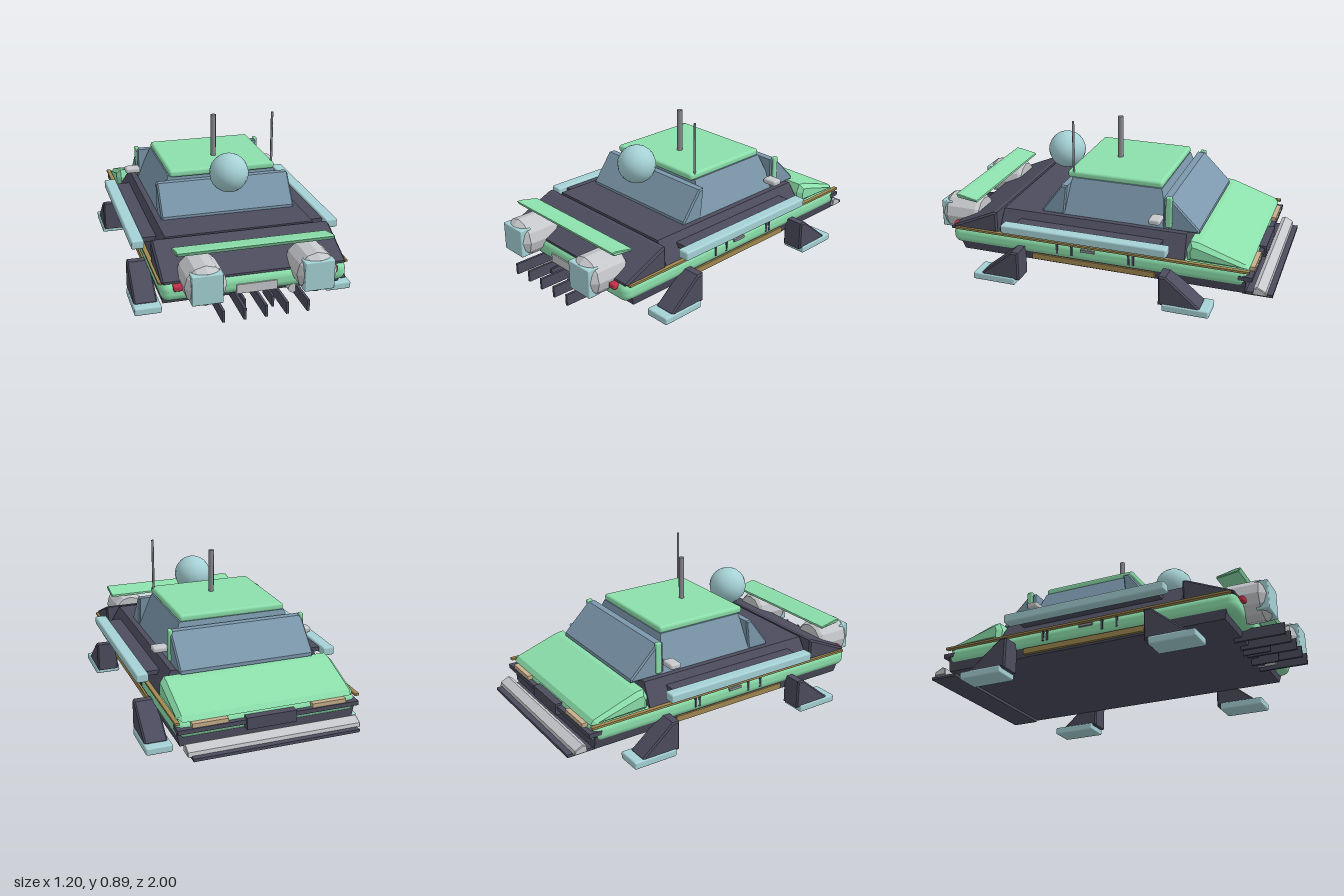
import * as THREE from 'three';
import { RoundedBoxGeometry } from 'three/addons/geometries/RoundedBoxGeometry.js';

const mat = (name, color, extra = {}) => {
  const m = new THREE.MeshStandardMaterial({ color, ...extra });
  m.name = name;
  return m;
};

export function createModel() {
  const green = mat('mint green', 0x8ce0ac);
  const dark = mat('dark slate', 0x4c4c5e);
  const glass = mat('blue glass', 0x7c98ac);
  const teal = mat('pale teal', 0xa6d2d6);
  const gold = mat('old gold', 0xa08850);
  const beige = mat('beige', 0xc8b08c);
  const silver = mat('silver', 0xc6c8cc);
  const grey = mat('mid grey', 0x8c8c94);
  const red = mat('red', 0xc0304a);

  const root = new THREE.Group();
  const add = (name, geo, material, x = 0, y = 0, z = 0) => {
    const m = new THREE.Mesh(geo, material);
    m.name = name;
    m.position.set(x, y, z);
    root.add(m);
    return m;
  };
  // Box from its extents
  const box = (name, material, x0, x1, y0, y1, z0, z1, r = 0) => {
    const s = [x1 - x0, y1 - y0, z1 - z0];
    const geo = r ? new RoundedBoxGeometry(...s, 3, r) : new THREE.BoxGeometry(...s);
    return add(name, geo, material, (x0 + x1) / 2, (y0 + y1) / 2, (z0 + z1) / 2);
  };
  // Side profile of [z, y] points, extruded across x with a chamfer
  const prism = (name, material, pts, width, bevel = 0, x = 0) => {
    const geo = new THREE.ExtrudeGeometry(new THREE.Shape(pts.map(p => new THREE.Vector2(...p))), {
      depth: width - 2 * bevel, bevelEnabled: bevel > 0, bevelThickness: bevel,
      bevelSize: bevel, bevelOffset: -bevel, bevelSegments: 1,
    });
    geo.translate(0, 0, bevel - width / 2).rotateY(-Math.PI / 2);
    return add(name, geo, material, x);
  };
  // Tapered block: [halfWidth, zBack, zFront] at the bottom and the top
  const hull = (name, material, y0, lo, y1, hi) => {
    const geo = new THREE.BoxGeometry(2, 1, 1);
    const p = geo.attributes.position;
    for (let i = 0; i < p.count; i++) {
      const [w, zb, zf] = p.getY(i) > 0 ? hi : lo;
      p.setXYZ(i, p.getX(i) * w, p.getY(i) > 0 ? y1 : y0, p.getZ(i) > 0 ? zf : zb);
    }
    geo.computeVertexNormals();
    return add(name, geo, material);
  };

  // Lower body
  hull('chassis', dark, 0.118, [0.475, -0.86, 0.77], 0.19, [0.49, -0.86, 0.79]);
  box('bodyBand', green, -0.495, 0.495, 0.15, 0.258, -0.87, 0.84, 0.045);
  hull('bodyShell', dark, 0.25, [0.485, -0.53, 0.545], 0.375, [0.41, -0.52, 0.54]);
  prism('hood', dark, [[0.555, 0.25], [0.825, 0.25], [0.825, 0.262], [0.575, 0.373], [0.555, 0.373]], 0.98, 0.01);
  prism('trunkLid', green,
    [[-0.54, 0.25], [-0.535, 0.32], [-0.555, 0.366], [-0.6, 0.36], [-0.85, 0.275], [-0.87, 0.25]], 0.97, 0.025);

  // Cabin
  hull('cabin', glass, 0.37, [0.38, -0.41, 0.2], 0.57, [0.305, -0.35, 0.165]);
  prism('windshield', glass, [[0.19, 0.37], [0.32, 0.37], [0.32, 0.39], [0.205, 0.545], [0.17, 0.545]], 0.76, 0.008);
  prism('rearWindow', glass, [[-0.38, 0.37], [-0.38, 0.55], [-0.42, 0.55], [-0.58, 0.39], [-0.58, 0.37]], 0.76, 0.008);
  box('roof', green, -0.303, 0.303, 0.567, 0.607, -0.352, 0.195, 0.015);
  add('mast', new THREE.CylinderGeometry(0.016, 0.016, 0.25, 8), grey, 0, 0.725, -0.012);
  add('antenna', new THREE.CylinderGeometry(0.007, 0.007, 0.3, 6), grey, 0.295, 0.742, 0.16);
  add('dome', new THREE.SphereGeometry(0.108, 16, 12), teal, 0, 0.615, 0.318);

  // Parts on both sides
  for (const s of [-1, 1]) {
    const side = (name, m, x0, x1, ...rest) =>
      box(name, m, Math.min(s * x0, s * x1), Math.max(s * x0, s * x1), ...rest);
    side('sideRail', teal, 0.51, 0.578, 0.298, 0.348, -0.455, 0.49, 0.01);
    side('railBracket', dark, 0.43, 0.515, 0.31, 0.335, -0.4, 0.43);
    side('sideStripe', gold, 0.48, 0.504, 0.245, 0.257, -0.88, 0.81);
    side('sill', gold, 0.47, 0.494, 0.13, 0.162, -0.37, 0.34);
    for (const z of [0.19, 0.105, -0.225, -0.25])
      side('doorSeam', dark, 0.49, 0.498, 0.185, 0.24, z - 0.006, z + 0.006);
    side('doorHandle', grey, 0.492, 0.504, 0.22, 0.234, -0.03, 0.05);
    side('cabinFin', green, 0.366, 0.39, 0.385, 0.562, -0.43, -0.395, 0.008);
    side('mirror', silver, 0.375, 0.462, 0.422, 0.455, -0.385, -0.32, 0.012);
    side('tailLight', beige, 0.23, 0.42, 0.225, 0.248, -0.895, -0.86);
    side('markerLight', red, 0.39, 0.435, 0.22, 0.25, 0.81, 0.86, 0.008);

    // Landing legs and feet, front and back
    for (const [f, c] of [[1, 0], [-1, -0.035]]) {
      const pts = [[0.385, 0.03], [0.61, 0.03], [0.61, 0.045], [0.425, 0.198], [0.385, 0.198]]
        .map(([z, y]) => [f * z + c, y]);
      prism('landingLeg', dark, pts, 0.125, 0.008, s * 0.533);
      const zc = f * 0.535 + c;
      side('landingFoot', teal, 0.457, 0.602, 0, 0.042, zc - 0.127, zc + 0.127, 0.009);
    }

    // Engine pods with square front plates
    const profile = [[0, -0.12], [0.095, -0.12], [0.109, -0.1], [0.109, 0.075], [0.08, 0.11], [0, 0.11]];
    const pod = new THREE.LatheGeometry(profile.map(p => new THREE.Vector2(...p)), 12).toNonIndexed();
    pod.computeVertexNormals();
    pod.rotateX(Math.PI / 2);
    add('enginePod', pod, silver, s * 0.29, 0.268, 0.848);
    side('podPlate', teal, 0.21, 0.37, 0.187, 0.346, 0.9, 0.968, 0.006);
  }

  // Front end
  prism('frontWing', green, [[0.715, 0.383], [0.835, 0.398], [0.845, 0.418], [0.82, 0.418], [0.715, 0.395]], 0.83, 0.004);
  box('frontPlate', silver, -0.108, 0.108, 0.16, 0.21, 0.83, 0.847);
  for (const x of [-0.22, -0.11, 0, 0.11, 0.22])
    box('longProng', dark, x - 0.007, x + 0.007, 0.098, 0.16, 0.73, 1);
  for (const x of [-0.075, 0.075])
    box('shortProng', dark, x - 0.006, x + 0.006, 0.08, 0.14, 0.73, 0.88);
  add('exhaust', new THREE.CylinderGeometry(0.026, 0.026, 0.1, 10).rotateX(Math.PI / 2), silver, 0.2, 0.142, 0.78);

  // Back end
  box('rearBumper', dark, -0.495, 0.495, 0.198, 0.222, -0.895, -0.82);
  box('rearPlate', dark, -0.135, 0.135, 0.17, 0.235, -0.905, -0.86);
  box('rearStep', dark, -0.45, 0.45, 0.1, 0.116, -1, -0.84);
  prism('stepFairing', silver, [[-0.895, 0.112], [-0.97, 0.112], [-0.965, 0.135], [-0.92, 0.158], [-0.9, 0.15]], 0.94, 0.004);

  return root;
}
